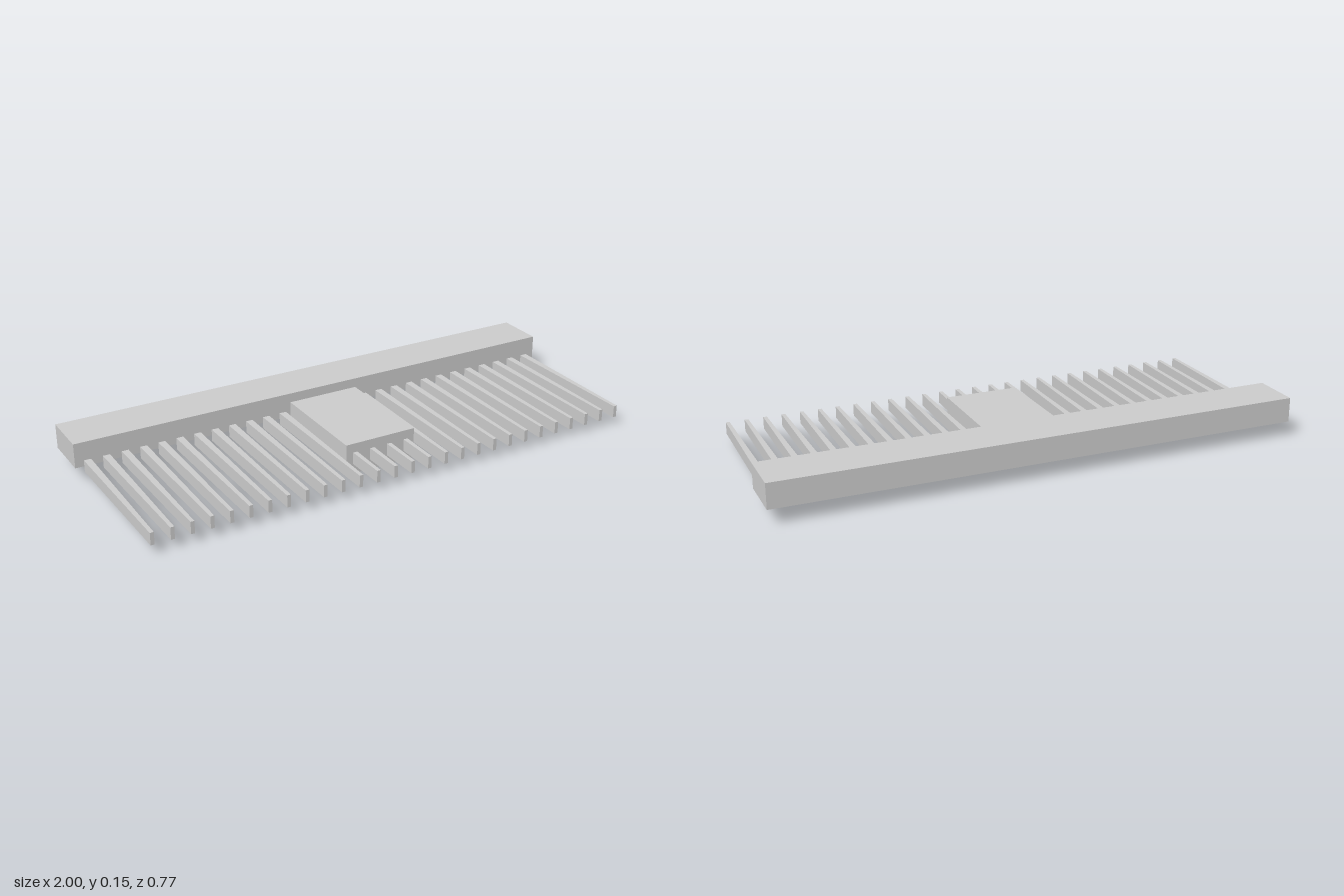
import * as THREE from 'three';

const material = new THREE.MeshStandardMaterial({ color: 0xcccccc, flatShading: true });

// Box given by its limits on each axis
function block(name, [x0, x1], [y0, y1], [z0, z1]) {
  const mesh = new THREE.Mesh(new THREE.BoxGeometry(x1 - x0, y1 - y0, z1 - z0), material);
  mesh.position.set((x0 + x1) / 2, (y0 + y1) / 2, (z0 + z1) / 2);
  mesh.name = name;
  return mesh;
}

// Bar of constant height that narrows from root to tip
function toothGeometry(rootWidth, tipWidth, y0, y1, zRoot, zTip) {
  const g = new THREE.BoxGeometry(1, y1 - y0, zTip - zRoot);
  g.translate(0, (y0 + y1) / 2, (zRoot + zTip) / 2);
  const p = g.attributes.position;
  for (let i = 0; i < p.count; i++) {
    const atTip = p.getZ(i) > (zRoot + zTip) / 2;
    p.setX(i, p.getX(i) * (atTip ? tipWidth : rootWidth));
  }
  g.computeVertexNormals();
  return g;
}

export function createModel() {
  const model = new THREE.Group();
  model.name = 'comb';

  // Long back bar and the central block in front of it
  model.add(block('spine', [-1, 1], [0.06, 0.154], [-0.387, -0.2]));
  model.add(block('centreBlock', [-0.143, 0.141], [0, 0.118], [-0.2, 0.224]));

  // Row of evenly spaced tapered teeth
  const teeth = new THREE.Group();
  teeth.name = 'teeth';
  const geometry = toothGeometry(0.027, 0.014, 0.037, 0.083, -0.2, 0.387);
  const count = 28, reach = 0.953;
  for (let i = 0; i < count; i++) {
    const tooth = new THREE.Mesh(geometry, material);
    tooth.name = 'tooth';
    tooth.position.x = -reach + (2 * reach * i) / (count - 1);
    teeth.add(tooth);
  }
  model.add(teeth);
  return model;
}
